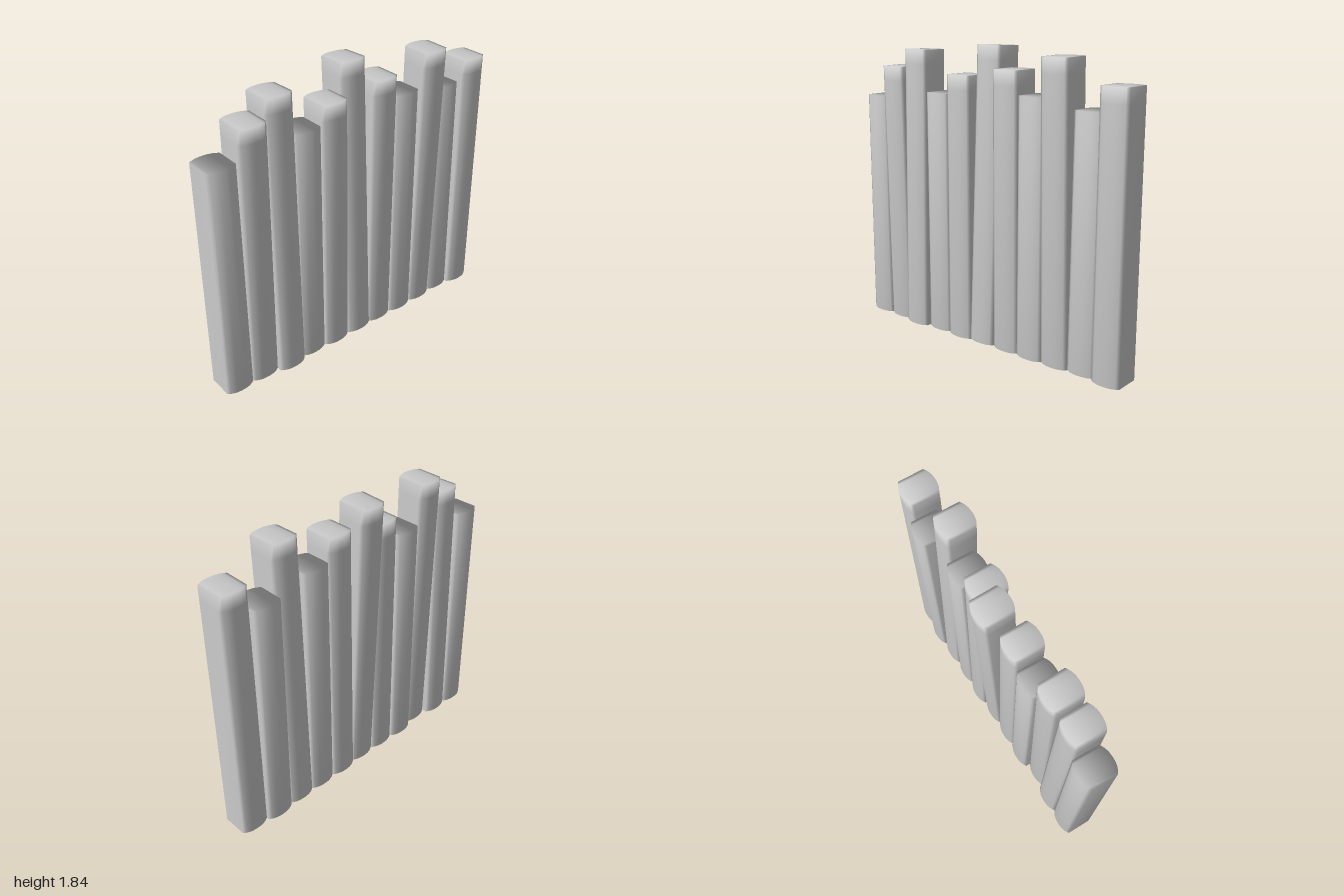
import * as THREE from 'three';

const HALF_W = 1 / 11;     // half the width of one post
const SIDE = 0.08;         // half depth of the flat sides
const BULGE = 0.027;       // extra depth of the rounded front and back
const SEG = 10;            // segments across each rounded face

// height, centre z at the bottom, centre z at the top, has a support ring below the top
const POSTS = [
  [1.49, 0.013, 0.013, false],
  [1.69, 0.012, 0.038, true],
  [1.80, 0.046, 0.015, true],
  [1.54, 0.014, 0.014, false],
  [1.66, 0.022, 0.022, true],
  [1.845, 0.024, -0.051, true],
  [1.71, 0.010, 0.023, true],
  [1.57, 0.013, 0.013, false],
  [1.80, 0.008, 0.049, true],
  [1.515, -0.002, -0.018, false],
  [1.66, 0.018, 0.018, true],
];

// Outline: front face left to right, then back face right to left
function outline() {
  const pts = [];
  for (const s of [1, -1]) {
    for (let i = 0; i <= SEG; i++) {
      const u = (i / SEG) * 2 - 1;
      const z = SIDE + BULGE * (1 - Math.pow(Math.abs(u), 2.5));
      pts.push([s * u * HALF_W, s * z]);
    }
  }
  return pts;
}

// Post with shared vertices, so the shading rolls softly over the cap edges
function postGeometry(height, ring) {
  const pts = outline();
  const n = pts.length;
  const levels = ring ? [0, height - 0.09, height] : [0, height];
  const pos = [];
  const idx = [];
  for (const y of levels) for (const [x, z] of pts) pos.push(x, y, z);

  // walls
  for (let l = 0; l < levels.length - 1; l++) {
    for (let i = 0; i < n; i++) {
      const a = l * n + i;
      const b = l * n + (i + 1) % n;
      idx.push(a, b, b + n, a, b + n, a + n);
    }
  }
  // flat caps, as strips between the front and back faces
  const top = (levels.length - 1) * n;
  for (let i = 0; i < SEG; i++) {
    const f0 = i, f1 = i + 1, b0 = n - 1 - i, b1 = n - 2 - i;
    idx.push(top + f0, top + f1, top + b1, top + f0, top + b1, top + b0);
    idx.push(f0, b1, f1, f0, b0, b1);
  }
  const geo = new THREE.BufferGeometry();
  geo.setAttribute('position', new THREE.Float32BufferAttribute(pos, 3));
  geo.setIndex(idx);
  geo.computeVertexNormals();
  return geo;
}

export function createModel() {
  const group = new THREE.Group();
  group.name = 'palisadeWall';
  const material = new THREE.MeshStandardMaterial({ color: 0xcccccc });

  // row of posts, some leaning forwards or backwards
  POSTS.forEach(([height, zBottom, zTop, ring], i) => {
    const lean = Math.atan2(zTop - zBottom, height);
    const lift = Math.abs(Math.sin(lean)) * (SIDE + BULGE);
    const post = new THREE.Mesh(postGeometry(height - 2 * lift, ring), material);
    post.name = `post${i + 1}`;
    post.rotation.x = lean;
    post.position.set(-1 + HALF_W * (2 * i + 1), lift, zBottom);
    group.add(post);
  });
  return group;
}
